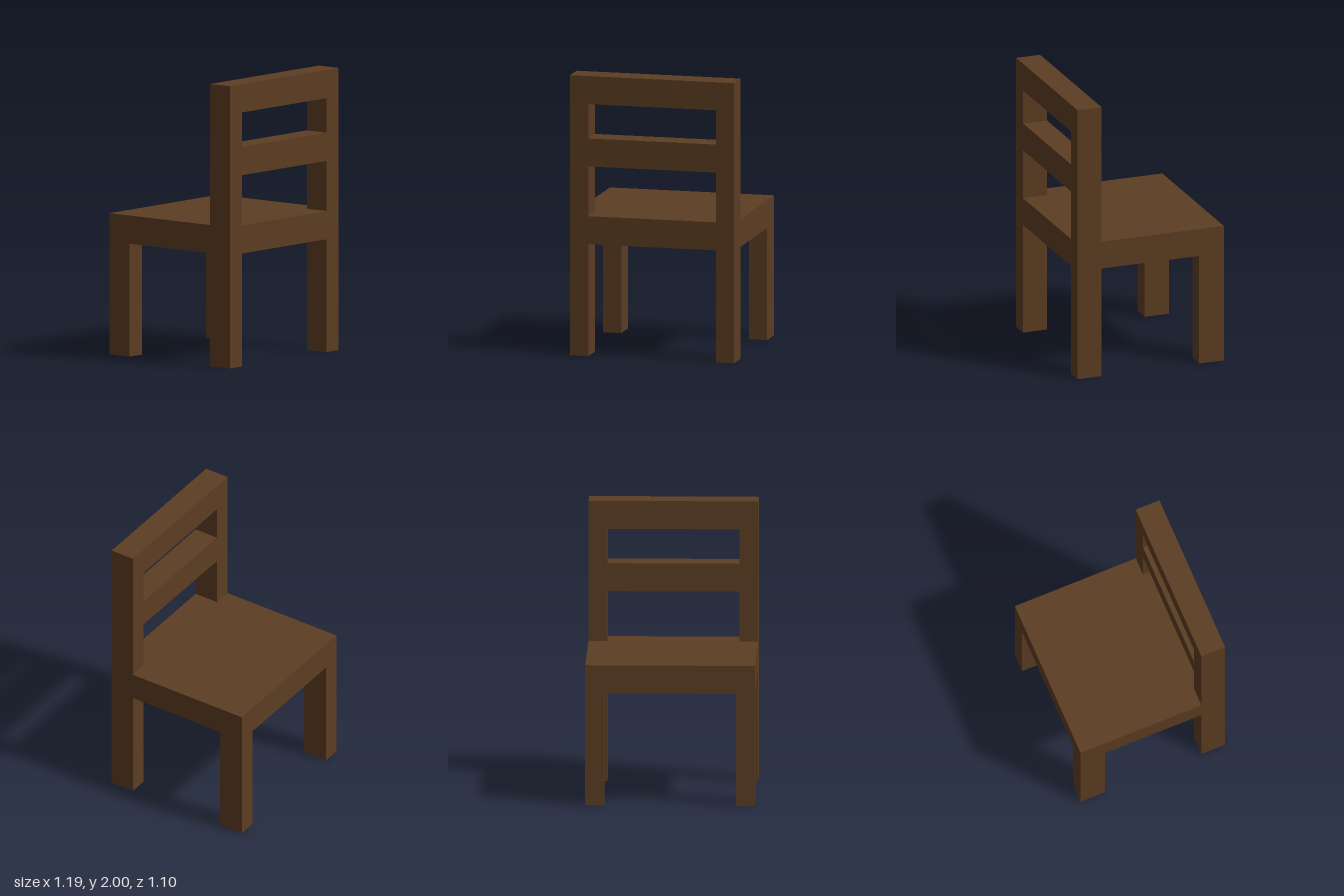
import * as THREE from 'three';

const HALF_W = 0.595; // half width of the chair
const INNER = 0.463; // inner side of the legs and posts
const DEPTH = 0.55; // half depth
const BACK_Z = 0.37; // where the back frame meets the seat
const SEAT_LOW = 0.8, SEAT_TOP = 1;

export function createModel() {
  const chair = new THREE.Group();
  chair.name = 'chair';
  const wood = new THREE.MeshStandardMaterial({ color: 0x5c3d22, flatShading: true });

  const add = (name, geometry) => {
    const mesh = new THREE.Mesh(geometry, wood);
    mesh.name = name;
    chair.add(mesh);
  };
  // Box given by its two opposite corners
  const addBox = (name, [x0, y0, z0], [x1, y1, z1]) => {
    const box = new THREE.BoxGeometry(x1 - x0, y1 - y0, z1 - z0);
    add(name, box.translate((x0 + x1) / 2, (y0 + y1) / 2, (z0 + z1) / 2));
  };

  // Back frame: rear legs, posts and rails in one piece
  const frame = new THREE.Shape([
    [-HALF_W, 0], [-INNER, 0], [-INNER, SEAT_LOW], [INNER, SEAT_LOW],
    [INNER, 0], [HALF_W, 0], [HALF_W, 2], [-HALF_W, 2],
  ].map(([x, y]) => new THREE.Vector2(x, y)));

  // Openings between the seat, the middle rail and the top rail
  for (const [low, high] of [[SEAT_TOP, 1.355], [1.555, 1.8]]) {
    frame.holes.push(new THREE.Path([
      [-INNER, low], [-INNER, high], [INNER, high], [INNER, low],
    ].map(([x, y]) => new THREE.Vector2(x, y))));
  }
  const frameGeometry = new THREE.ExtrudeGeometry(frame, { depth: DEPTH - BACK_Z, bevelEnabled: false });
  add('backFrame', frameGeometry.translate(0, 0, BACK_Z));

  // Thick seat slab
  addBox('seat', [-HALF_W, SEAT_LOW, -DEPTH], [HALF_W, SEAT_TOP, BACK_Z]);

  // Legs at the open side of the seat
  addBox('leftLeg', [INNER, 0, -DEPTH], [HALF_W, SEAT_LOW, -0.365]);
  addBox('rightLeg', [-HALF_W, 0, -DEPTH], [-INNER, SEAT_LOW, -0.365]);

  return chair;
}
